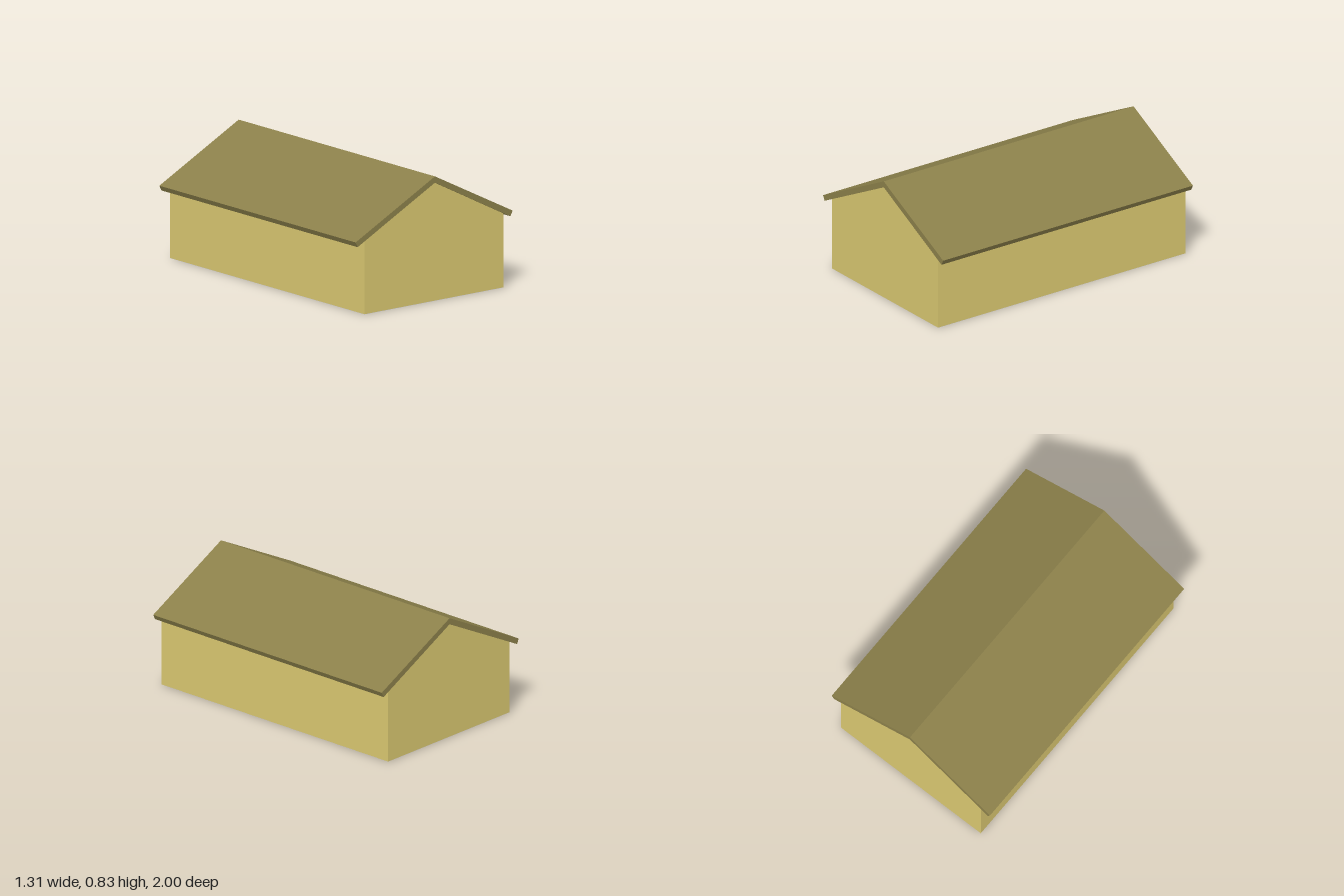
import * as THREE from 'three';

// Extrudes a front outline of [x, y] points along z from zBack to zFront
function extrudeOutline(name, points, zBack, zFront, color) {
  const shape = new THREE.Shape(points.map(([x, y]) => new THREE.Vector2(x, y)));
  const geometry = new THREE.ExtrudeGeometry(shape, { depth: zFront - zBack, bevelEnabled: false });
  geometry.translate(0, 0, zBack);
  const mesh = new THREE.Mesh(geometry, new THREE.MeshStandardMaterial({ color }));
  mesh.name = name;
  return mesh;
}

export function createModel() {
  const house = new THREE.Group();
  house.name = 'gabledBuilding';

  // Walls with a gable at both ends
  house.add(extrudeOutline('walls', [
    [-0.573, 0.002], [0.586, 0.002], [0.586, 0.493], [0.007, 0.788], [-0.573, 0.492],
  ], -0.992, 0.99, 0xd9c770));

  // Pitched roof slab with overhanging eaves cut square to the slope
  house.add(extrudeOutline('roof', [
    [-0.638, 0.459], [0.007, 0.788], [0.637, 0.468],
    [0.655, 0.503], [0.007, 0.83], [-0.655, 0.493],
  ], -1, 1, 0x8b804a));

  // Floor plate under the building
  const floor = new THREE.Mesh(
    new THREE.BoxGeometry(1.155, 0.01, 1.978),
    new THREE.MeshStandardMaterial({ color: 0xcccccc }),
  );
  floor.position.set(0.0065, 0.005, -0.001);
  floor.name = 'floor';
  house.add(floor);

  return house;
}
